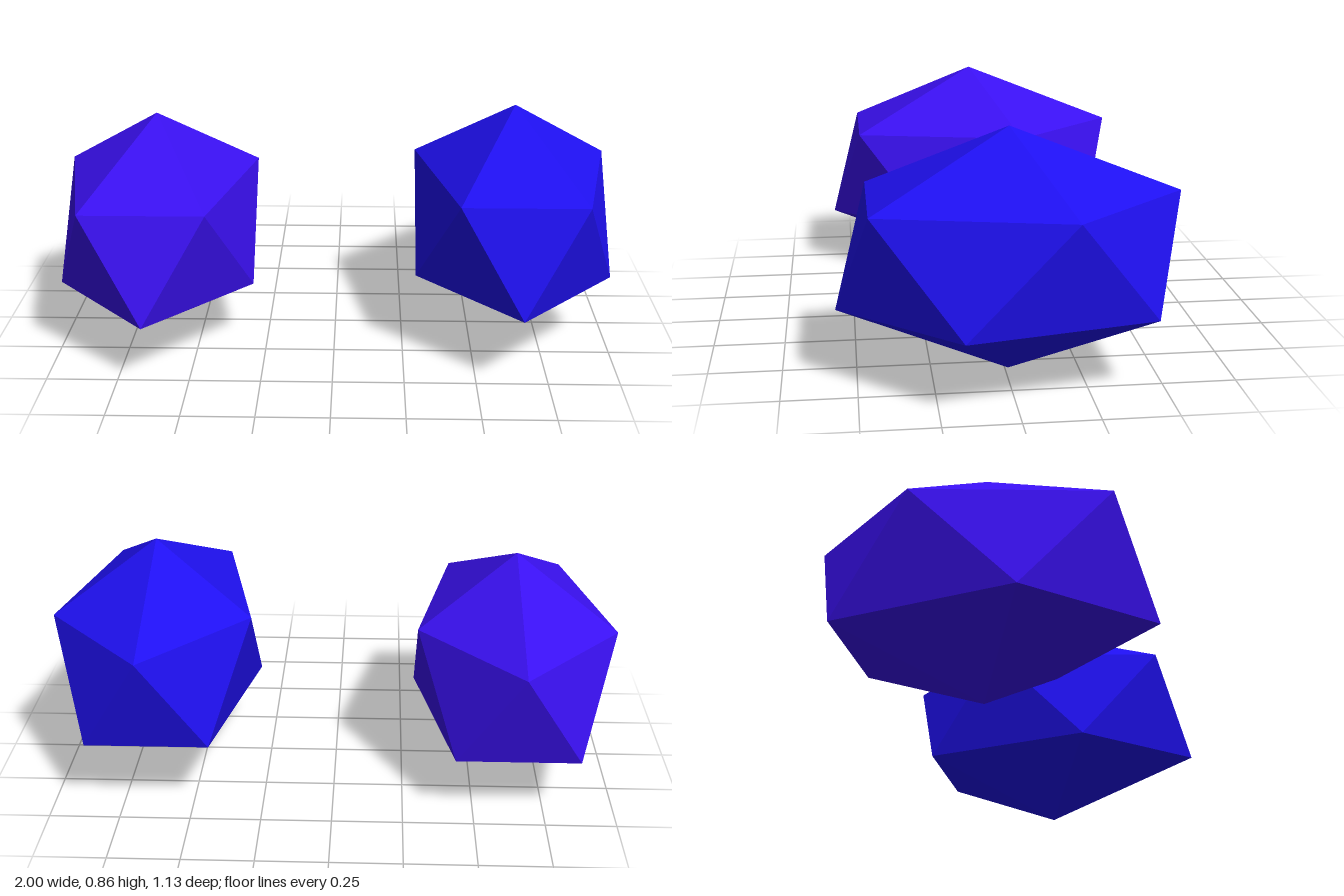
import * as THREE from 'three';

// Twenty-sided gem standing on one corner, stretched front to back
function gem(name, color, x, y) {
  const golden = (1 + Math.sqrt(5)) / 2;
  const geometry = new THREE.IcosahedronGeometry(1, 0);
  geometry.rotateX(Math.atan(golden)); // bring a corner to the top
  geometry.scale(0.414, 0.412, 0.632);
  const mesh = new THREE.Mesh(
    geometry,
    new THREE.MeshStandardMaterial({ color, flatShading: true })
  );
  mesh.name = name;
  mesh.position.set(x, y, 0);
  return mesh;
}

export function createModel() {
  const model = new THREE.Group();
  model.name = 'gemPair';
  model.add(
    gem('leftGem', 0x1f10f0, 0.648, 0.454),
    gem('rightGem', 0x3a10f0, -0.648, 0.416)
  );
  return model;
}
